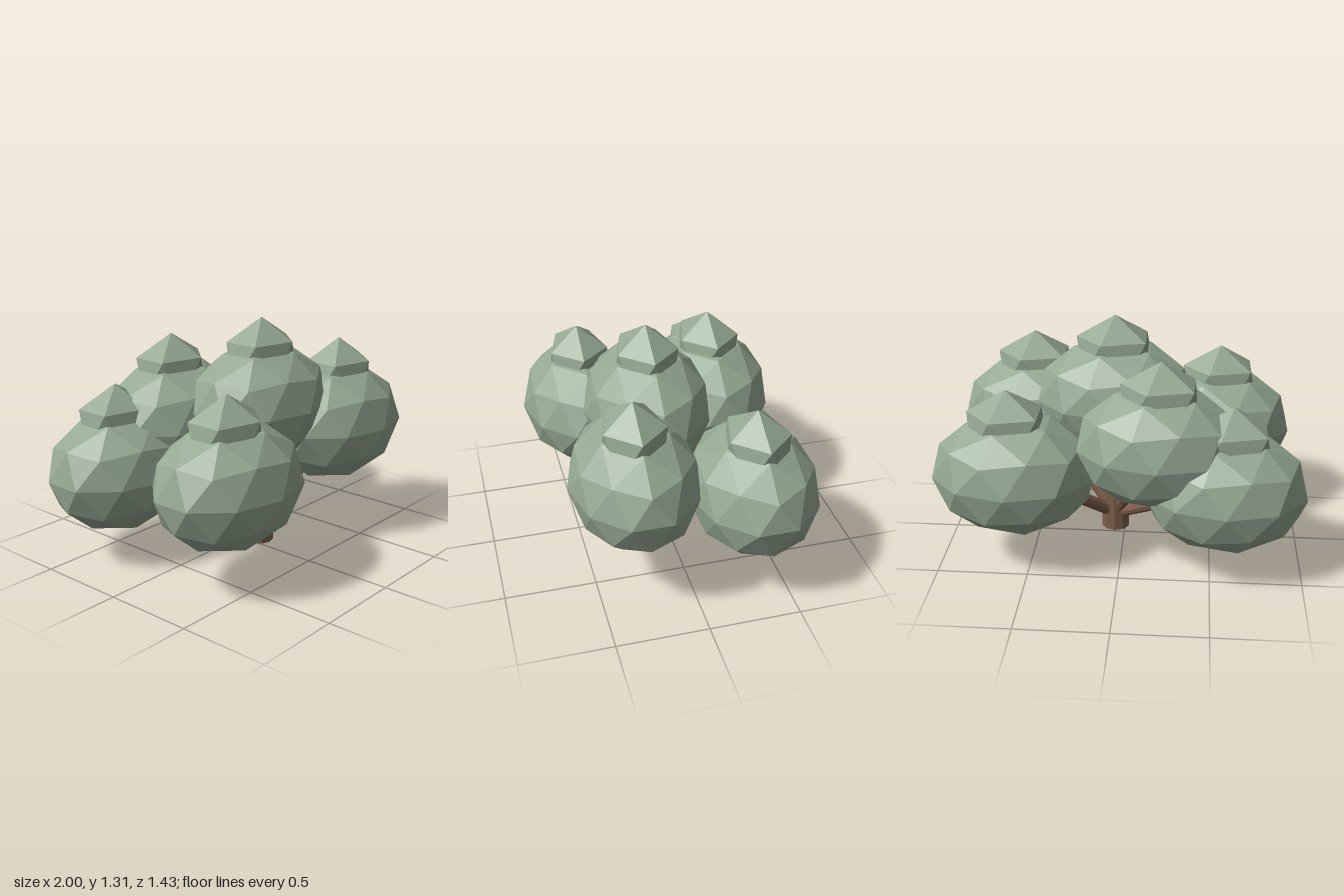
import * as THREE from 'three';

const foliage = new THREE.MeshStandardMaterial({ color: 0x94a892, flatShading: true });
foliage.name = 'sage green';
const bark = new THREE.MeshStandardMaterial({ color: 0x7f5e49, flatShading: true });
bark.name = 'brown bark';

const TRUNK = new THREE.Vector3(0.058, 0, 0.091);

// Foliage clumps: centre x, y, z
const CLUMPS = [
  [-0.57, 0.506, -0.367],
  [-0.205, 0.726, -0.317],
  [0.573, 0.556, -0.345],
  [-0.513, 0.57, 0.364],
  [0.055, 0.83, 0.1],
  [0.51, 0.665, 0.281],
];

// Icosphere standing on a pole, with an upper ring corner facing +x
function icosphere(detail, rx, ry, rz) {
  const g = new THREE.IcosahedronGeometry(1, detail);
  g.rotateZ(-Math.atan(2 / (1 + Math.sqrt(5))));
  g.scale(rx, ry, rz);
  g.computeVertexNormals();
  return g;
}

// Cylinder between two points
function limb(name, from, to, radius, sides) {
  const dir = to.clone().sub(from);
  const mesh = new THREE.Mesh(new THREE.CylinderGeometry(radius, radius, dir.length(), sides), bark);
  mesh.position.copy(from).add(to).multiplyScalar(0.5);
  mesh.quaternion.setFromUnitVectors(new THREE.Vector3(0, 1, 0), dir.normalize());
  mesh.name = name;
  return mesh;
}

export function createModel() {
  const tree = new THREE.Group();
  tree.name = 'tree';

  // Trunk
  tree.add(limb('trunk', TRUNK, TRUNK.clone().setY(0.36), 0.083, 10));

  const ballGeometry = icosphere(1, 0.449, 0.343, 0.349);
  const capGeometry = icosphere(0, 0.24, 0.23, 0.193);

  CLUMPS.forEach(([x, y, z], i) => {
    // Branch from the trunk into the clump
    const start = TRUNK.clone().setY(0.08);
    tree.add(limb('branch' + (i + 1), start, new THREE.Vector3(x, y, z), 0.037, 10));

    // Rounded clump
    const ball = new THREE.Mesh(ballGeometry, foliage);
    ball.position.set(x, y, z);
    ball.name = 'foliageClump' + (i + 1);

    // Faceted tuft poking out of the top
    const cap = new THREE.Mesh(capGeometry, foliage);
    cap.position.set(x * 1.045, y + 0.25, z * 1.015);
    cap.name = 'foliageTuft' + (i + 1);
    tree.add(ball, cap);
  });

  return tree;
}
